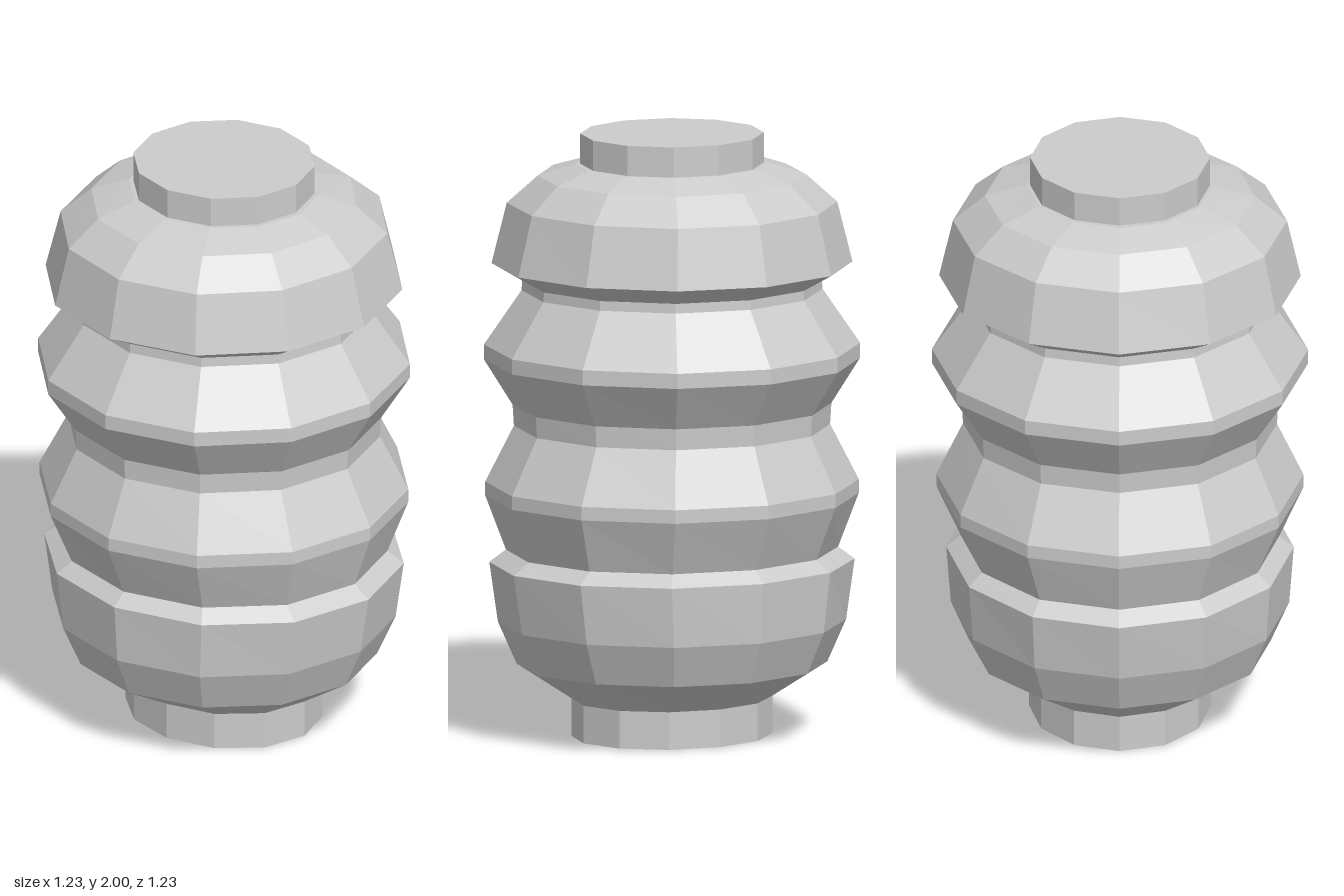
import * as THREE from 'three';

const SIDES = 12;
const material = new THREE.MeshStandardMaterial({ color: 0xcccccc, flatShading: true });

// Faceted turned part. Each ring is [y, half width, half depth].
function turned(name, rings) {
  const profile = rings.map(([y, rx]) => new THREE.Vector2(rx, y));
  const geometry = new THREE.LatheGeometry(profile, SIDES);
  const pos = geometry.attributes.position;
  for (let i = 0; i < pos.count; i++) {
    const [, rx, rz] = rings[i % rings.length];
    if (rx > 0) pos.setZ(i, pos.getZ(i) * rz / rx);
  }
  geometry.computeVertexNormals();
  const mesh = new THREE.Mesh(geometry, material);
  mesh.name = name;
  return mesh;
}

export function createModel() {
  const group = new THREE.Group();
  group.name = 'ribbedCanister';
  group.add(
    // closed stub at the foot
    turned('bottomNeck', [[0, 0, 0], [0, 0.298, 0.34], [0.125, 0.298, 0.34]]),
    // rounded cup holding the lower end, with a sloping lip
    turned('lowerCup', [
      [0.125, 0.298, 0.34], [0.24, 0.495, 0.515], [0.38, 0.555, 0.577],
      [0.58, 0.57, 0.61], [0.62, 0.522, 0.553],
    ]),
    // two ribs with a waist between them
    turned('ribbedBody', [
      [0.62, 0.522, 0.553], [0.8, 0.602, 0.617], [0.845, 0.602, 0.617],
      [1.03, 0.515, 0.52], [1.1, 0.518, 0.525], [1.25, 0.617, 0.617],
      [1.3, 0.617, 0.617], [1.48, 0.49, 0.495], [1.512, 0.488, 0.493],
    ]),
    // domed cap with an undercut rim
    turned('upperCap', [
      [1.512, 0.488, 0.493], [1.57, 0.593, 0.592], [1.77, 0.548, 0.54],
      [1.86, 0.443, 0.44], [1.9, 0.305, 0.322], [1.9, 0.295, 0.304],
    ]),
    // closed stub on top
    turned('topNeck', [[1.9, 0.295, 0.304], [2, 0.295, 0.304], [2, 0, 0]]),
  );
  return group;
}
